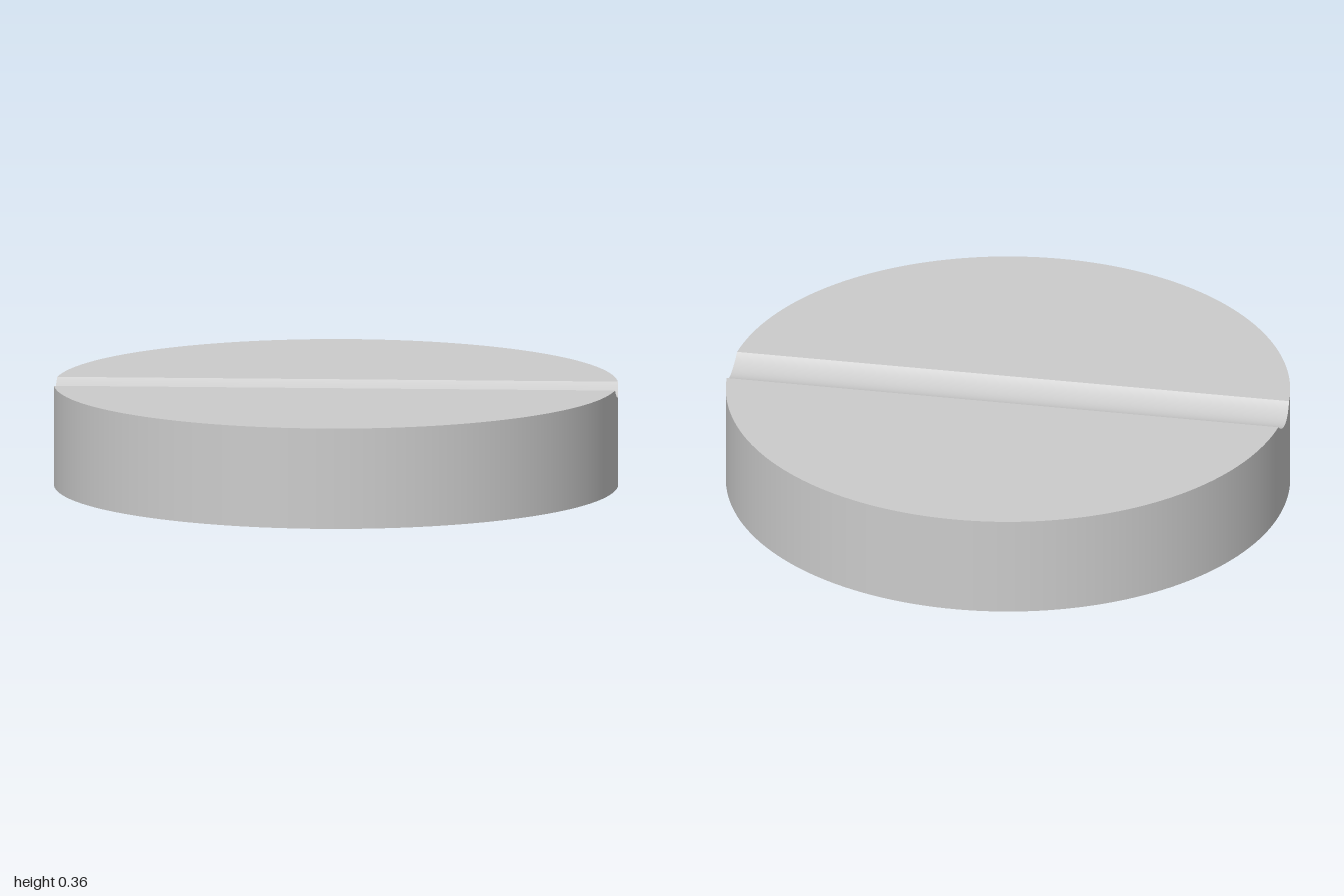
import * as THREE from 'three';

const RADIUS = 1, HEIGHT = 0.36;
const GROOVE_HALF = 0.1, GROOVE_DEPTH = 0.04, GROOVE_Z = -0.003;
const GROOVE_R = (GROOVE_HALF ** 2 + GROOVE_DEPTH ** 2) / (2 * GROOVE_DEPTH);
const GROOVE_Y = HEIGHT - GROOVE_DEPTH + GROOVE_R; // height of the groove's axis

const halfWidth = (z) => Math.sqrt(Math.max(0, RADIUS * RADIUS - z * z));

// Height of the top surface at depth z
function topY(z) {
  const d = z - GROOVE_Z;
  if (Math.abs(d) >= GROOVE_HALF) return HEIGHT;
  return Math.min(HEIGHT, GROOVE_Y - Math.sqrt(GROOVE_R * GROOVE_R - d * d));
}

// z stations spaced by equal angle, from angle a0 to a1
function arcStations(a0, a1, n, radius, centre) {
  return Array.from({ length: n + 1 }, (_, i) => centre + radius * Math.sin(a0 + ((a1 - a0) * i) / n));
}

// Ruled surface between two edges sampled at the same z stations
function ruled(stations, edgeA, edgeB, normalAt) {
  const pos = [], nor = [], index = [];
  stations.forEach((z, i) => {
    pos.push(...edgeA(z), ...edgeB(z));
    const n = normalAt(z);
    nor.push(...n, ...n);
    if (i > 0) {
      const k = 2 * i;
      index.push(k - 2, k, k + 1, k - 2, k + 1, k - 1);
    }
  });
  const geo = new THREE.BufferGeometry();
  geo.setAttribute('position', new THREE.Float32BufferAttribute(pos, 3));
  geo.setAttribute('normal', new THREE.Float32BufferAttribute(nor, 3));
  geo.setIndex(index);
  return geo;
}

export function createModel() {
  const group = new THREE.Group();
  group.name = 'groovedDisc';
  const material = new THREE.MeshStandardMaterial({ color: 0xcccccc });
  const add = (name, geo) => {
    const mesh = new THREE.Mesh(geo, material);
    mesh.name = name;
    group.add(mesh);
  };

  // Stations for the two flat lands and the groove between them
  const zBack = GROOVE_Z - GROOVE_HALF, zFront = GROOVE_Z + GROOVE_HALF;
  const sweep = Math.asin(GROOVE_HALF / GROOVE_R);
  const back = arcStations(-Math.PI / 2, Math.asin(zBack), 40, RADIUS, 0);
  const groove = arcStations(-sweep, sweep, 24, GROOVE_R, GROOVE_Z);
  const front = arcStations(Math.asin(zFront), Math.PI / 2, 40, RADIUS, 0);
  const all = [...back, ...groove.slice(1, -1), ...front];

  const top = (side) => (z) => [side * halfWidth(z), topY(z), z];
  const bottom = (side) => (z) => [side * halfWidth(z), 0, z];
  const up = () => [0, 1, 0];

  // Top lands and groove
  add('backTop', ruled(back, top(-1), top(1), up));
  add('frontTop', ruled(front, top(-1), top(1), up));
  add('groove', ruled(groove, top(-1), top(1),
    (z) => [0, (GROOVE_Y - topY(z)) / GROOVE_R, (GROOVE_Z - z) / GROOVE_R]));

  // Rim wall, notched where the groove runs out
  add('leftRim', ruled(all, top(1), bottom(1), (z) => [halfWidth(z), 0, z]));
  add('rightRim', ruled(all, bottom(-1), top(-1), (z) => [-halfWidth(z), 0, z]));

  // Flat underside
  add('base', ruled(all, bottom(1), bottom(-1), () => [0, -1, 0]));

  return group;
}
